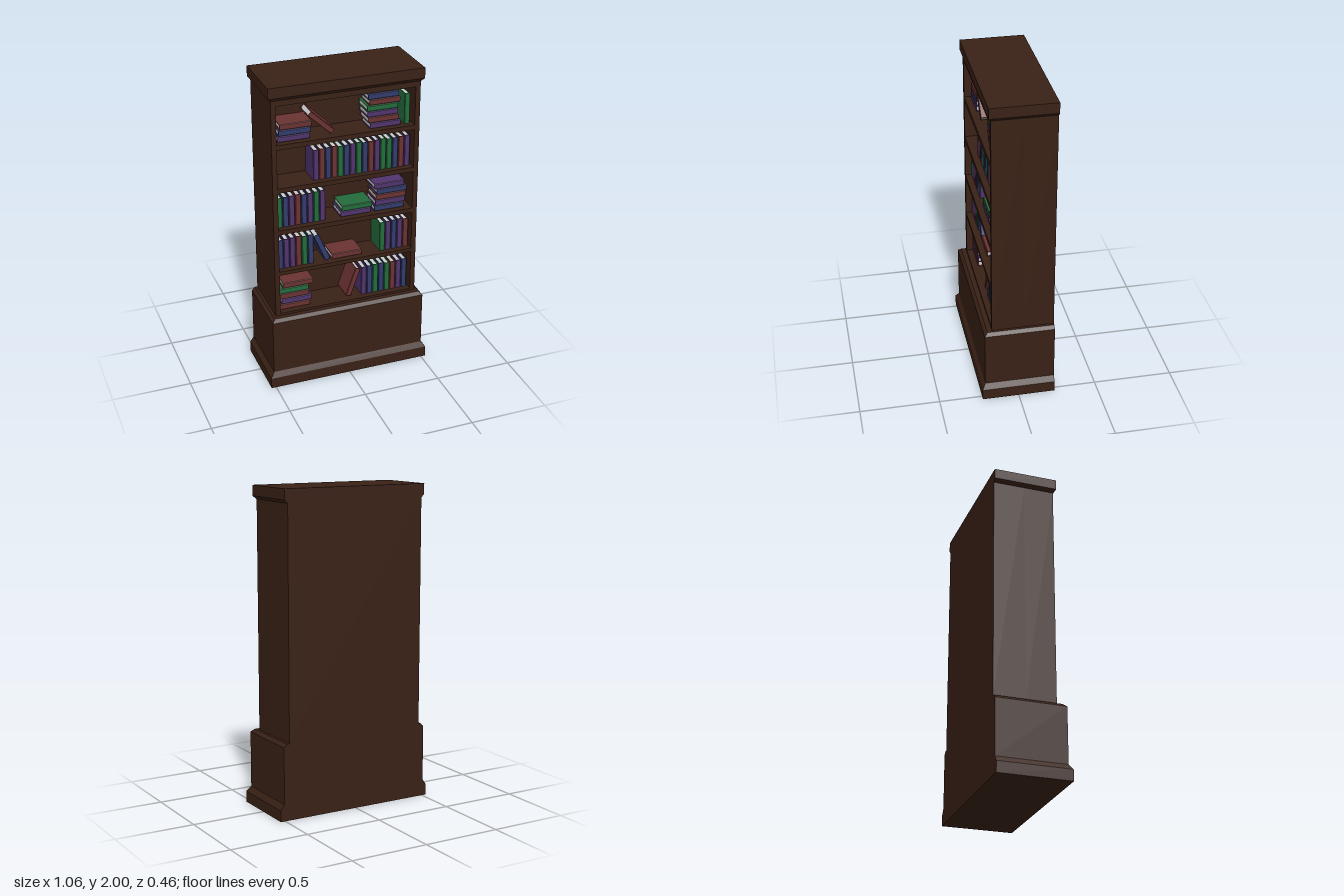
import * as THREE from 'three';

const BACK = -0.23, BAY_BACK = -0.03, FRONT = 0.16;
const mat = (color) => new THREE.MeshStandardMaterial({ color });
const wood = mat(0x3a2116), paper = mat(0xcccccc);
const covers = { b: mat(0x323c6e), r: mat(0x6b3232), g: mat(0x226b3c), p: mat(0x50346e) };
const T = 0.035, H = 0.196, D = 0.145; // book thickness, height, depth

function add(parent, name, geometry, material, x = 0, y = 0, z = 0) {
  const mesh = new THREE.Mesh(geometry, material);
  mesh.name = name;
  mesh.position.set(x, y, z);
  parent.add(mesh);
  return mesh;
}

// Block with a flat back whose half width and front change from bottom to top
function tier(parent, name, [y0, w0, f0], [y1, w1, f1]) {
  const g = new THREE.BoxGeometry(2, 1, 1);
  const p = g.attributes.position;
  for (let i = 0; i < p.count; i++) {
    const top = p.getY(i) > 0;
    const front = top ? f1 : f0;
    p.setXYZ(i, p.getX(i) * (top ? w1 : w0), top ? y1 : y0, p.getZ(i) > 0 ? front : BACK);
  }
  g.computeVertexNormals();
  add(parent, name, g, wood);
}

// U-shaped cover: two boards and a spine with slightly chamfered edges
function coverGeometry() {
  const w = T / 2, d = D / 2, t = 0.005, c = 0.003;
  const s = new THREE.Shape([
    [-w, d], [-w, -d + c], [-w + c, -d], [w - c, -d], [w, -d + c], [w, d],
    [w - t, d], [w - t, -d + t], [-w + t, -d + t], [-w + t, d],
  ].map(([x, y]) => new THREE.Vector2(x, y)));
  const g = new THREE.ExtrudeGeometry(s, { depth: H, bevelEnabled: false });
  g.translate(0, 0, -H / 2);
  return g.rotateX(-Math.PI / 2);
}

export function createModel() {
  const model = new THREE.Group();
  model.name = 'bookcase';

  // Stepped base and crown
  const base = new THREE.Group();
  base.name = 'base';
  const crown = new THREE.Group();
  crown.name = 'crown';
  model.add(base, crown);
  const baseSteps = [[0, 0.53, 0.23], [0.07, 0.53, 0.23], [0.105, 0.505, 0.21],
    [0.46, 0.505, 0.21], [0.48, 0.485, 0.19]];
  const baseNames = ['plinth', 'plinthBevel', 'cabinet', 'cabinetBevel'];
  baseNames.forEach((n, i) => tier(base, n, baseSteps[i], baseSteps[i + 1]));
  tier(crown, 'crownBevel', [1.915, 0.47, 0.16], [1.935, 0.488, 0.175]);
  tier(crown, 'crownBoard', [1.935, 0.488, 0.175], [2, 0.488, 0.175]);

  // Shelf frame with five open bays, closed by a thick back
  const floors = [0.495, 0.79, 1.075, 1.355, 1.635];
  const ceilings = [0.765, 1.045, 1.325, 1.605, 1.88];
  const rect = (Kind, w, y0, y1) => new Kind([[-w, y0], [w, y0], [w, y1], [-w, y1]]
    .map(([x, y]) => new THREE.Vector2(x, y)));
  const frame = rect(THREE.Shape, 0.468, 0.48, 1.915);
  floors.forEach((y, i) => frame.holes.push(rect(THREE.Path, 0.437, y, ceilings[i])));
  add(model, 'shelfFrame', new THREE.ExtrudeGeometry(frame,
    { depth: FRONT - BAY_BACK, bevelEnabled: false }), wood, 0, 0, BAY_BACK);
  tier(model, 'backPanel', [0.48, 0.468, BAY_BACK], [1.915, 0.468, BAY_BACK]);

  // Books
  const coverGeo = coverGeometry();
  const pageGeo = new THREE.BoxGeometry(T - 0.01, H - 0.01, D - 0.01);
  const books = new THREE.Group();
  books.name = 'books';
  model.add(books);
  function book(color, x, y, angle = 0, tall = 1) {
    const b = new THREE.Group();
    b.name = 'book';
    add(b, 'cover', coverGeo, covers[color]);
    add(b, 'pages', pageGeo, paper);
    b.position.set(x, y, 0.048);
    b.rotation.z = angle;
    b.scale.y = tall;
    books.add(b);
  }
  // Upright row; x is the left edge
  function row(bay, x, colors) {
    [...colors].forEach((c, i) => {
      const tall = 1 + ((i * 5) % 4) * 0.012;
      book(c, x + 0.0195 + i * 0.0393, floors[bay] + H * tall / 2, 0, tall);
    });
  }
  // Flat pile from the bottom up; one x centre per book
  function pile(bay, colors, xs) {
    xs.forEach((x, i) => book(colors[i], x, floors[bay] + T / 2 + i * 0.0375, Math.PI / 2));
  }

  pile(0, 'rprgr', [-0.327, -0.316, -0.332, -0.335, -0.306]);
  book('r', 0.062, 0.597, -0.34);
  row(0, 0.115, 'pbgbgrpb');

  row(1, -0.435, 'bpprgb');
  book('b', -0.147, 0.888, 0.4);
  pile(1, 'r', [0.017]);
  row(1, 0.236, 'gpbpr');

  row(2, -0.435, 'gbprbpgp');
  pile(2, 'pg', [0.075, 0.084]);
  pile(2, 'bprbp', [0.297, 0.303, 0.307, 0.313, 0.297]);

  row(3, -0.2, 'prbrgbpgbrpggbrp');

  pile(4, 'pbr', [-0.319, -0.313, -0.306]);
  book('r', -0.147, 1.722, 0.82);
  pile(4, 'prpgrb', [0.262, 0.251, 0.245, 0.243, 0.257, 0.247]);
  book('g', 0.403, 1.635 + H / 2, 0);

  return model;
}
